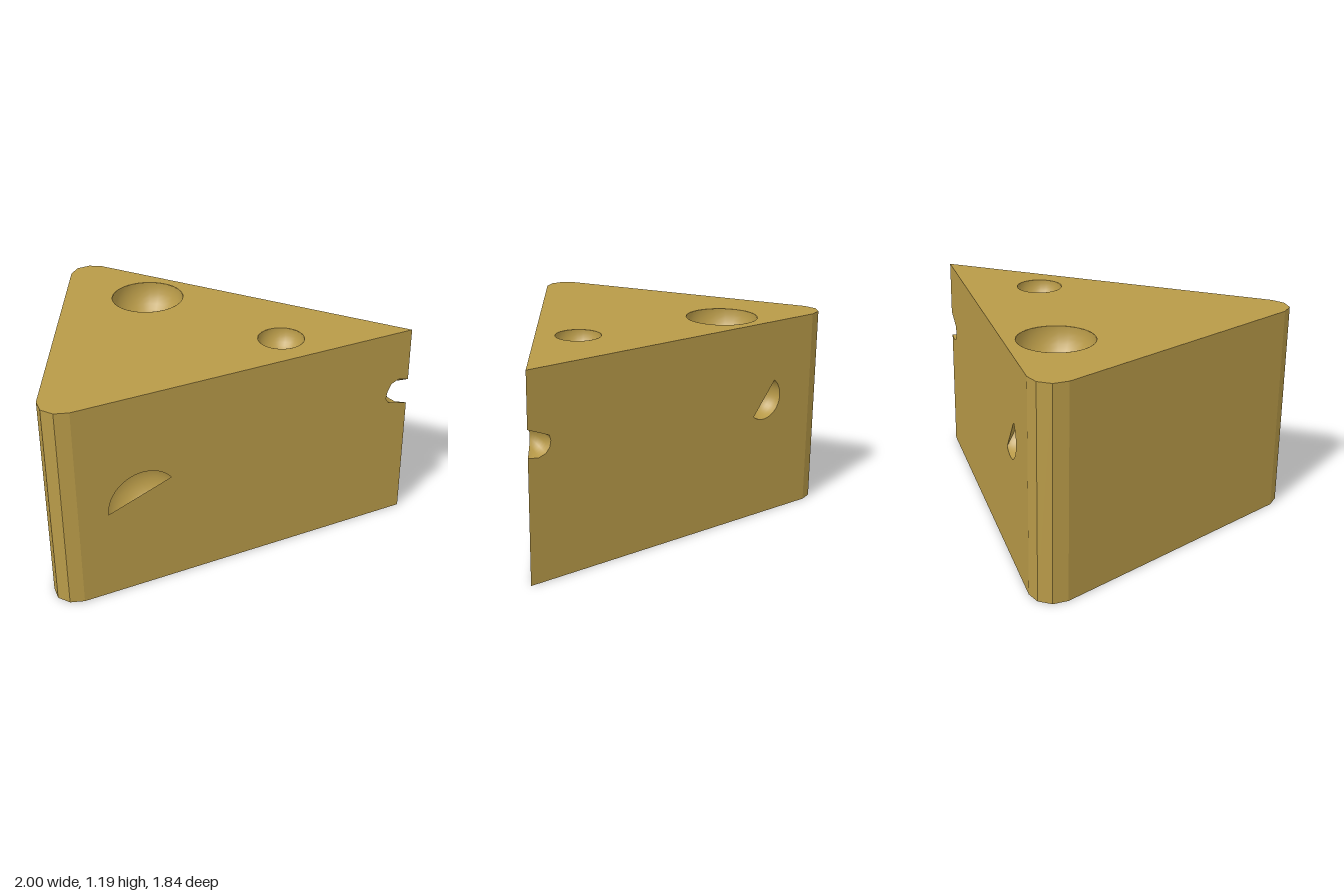
import * as THREE from 'three';

const H = 1.19;
const TURN = Math.atan(0.5); // angle of each long side
const K = Math.cos(TURN);
const material = new THREE.MeshStandardMaterial({ color: 0xb89a48, side: THREE.DoubleSide });

function add(parent, name, geometry) {
  const mesh = new THREE.Mesh(geometry, material);
  mesh.name = name;
  parent.add(mesh);
  return mesh;
}

// Surface from a rule point(a, b), a and b in 0..1
function grid(na, nb, point) {
  const pos = [], idx = [];
  for (let i = 0; i <= na; i++) {
    for (let j = 0; j <= nb; j++) {
      pos.push(...point(i / na, j / nb));
      if (i < na && j < nb) {
        const p = i * (nb + 1) + j, q = p + nb + 1;
        idx.push(p, q, p + 1, q, q + 1, p + 1);
      }
    }
  }
  const g = new THREE.BufferGeometry();
  g.setAttribute('position', new THREE.Float32BufferAttribute(pos, 3));
  g.setIndex(idx);
  g.computeVertexNormals();
  return g;
}

// Point on a tilted half-sphere pocket: chord along x, mouth towards +y, depth along -z
function pocketPoint({ h, d, t }, phi, f) {
  const m = -d * Math.cos(phi) + t * Math.sin(phi);
  const r = Math.hypot(h, m);
  const start = Math.asin(-m / r);
  const a = start + f * (Math.PI - 2 * start);
  const q = m + r * Math.sin(a);
  return [r * Math.cos(a), q * Math.cos(phi), -q * Math.sin(phi)];
}

// Long side wall with a pocket and a bite out of the tip edge
function sideWall(name, angle, dir, pocket, bite) {
  const wall = new THREE.Group();
  wall.name = name;
  wall.rotation.y = angle;
  wall.position.z = 0.5 * dir;
  const toLocal = ([x, y]) => new THREE.Vector2((dir * x) / K, y);
  const shape = new THREE.Shape([[-0.82, 0], [-0.82, H], [1, H], ...bite, [1, 0]].map(toLocal));
  const mid = new THREE.Vector2(pocket.s, pocket.y);
  const mouth = [];
  for (let i = 0; i <= 24; i++) {
    const [u, v] = pocketPoint(pocket, 0, i / 24);
    mouth.push(new THREE.Vector2(u, v).rotateAround(new THREE.Vector2(), pocket.roll).add(mid));
  }
  shape.holes.push(new THREE.Path(mouth));
  add(wall, name + 'Face', new THREE.ShapeGeometry(shape));

  const hole = new THREE.Group();
  hole.name = name + 'Hole';
  hole.position.set(pocket.s, pocket.y, 0);
  hole.rotation.z = pocket.roll;
  const end = Math.PI / 2 + pocket.tilt;
  add(hole, 'holeBowl', grid(14, 24, (a, b) => pocketPoint(pocket, a * end, b)));
  add(hole, 'holeFloor', grid(1, 24, (a, b) => {
    const p = pocketPoint(pocket, end, b);
    return a ? p : [p[0], 0, 0];
  }));
  wall.add(hole);
  return wall;
}

export function createModel() {
  const model = new THREE.Group();
  model.name = 'cheeseWedge';

  // Rounded rear corners, back edge to side wall
  const corner = [[-1, 0.8], [-0.97, 0.88], [-0.9, 0.92], [-0.82, 0.91]];
  const outline = [
    [1, 0], ...[...corner].reverse(), ...corner.map(([x, z]) => [x, -z]),
  ];

  // Top and bottom; shape y becomes -z
  const flat = () => new THREE.Shape(outline.map(([x, z]) => new THREE.Vector2(x, -z)));
  const bowls = [[-0.51, -0.45, 0.21], [0.26, 0.1, 0.13]];
  const topShape = flat();
  for (const [x, z, r] of bowls) {
    const ring = new THREE.Path();
    ring.absarc(x, -z, r, 0, Math.PI * 2, true);
    topShape.holes.push(ring);
    const bowl = add(model, 'topHole',
      new THREE.SphereGeometry(r, 24, 10, 0, Math.PI * 2, Math.PI / 2, Math.PI / 2));
    bowl.position.set(x, H, z);
  }
  add(model, 'top', new THREE.ShapeGeometry(topShape, 24).rotateX(-Math.PI / 2).translate(0, H, 0));
  const base = new THREE.ShapeGeometry(flat()).rotateX(-Math.PI / 2);
  base.index.array.reverse();
  base.computeVertexNormals();
  add(model, 'bottom', base);

  // Rear rind: flat strips between the two side walls
  for (let i = 1; i < outline.length - 1; i++) {
    const [p, q] = [outline[i], outline[i + 1]];
    add(model, 'rind', grid(1, 1, (a, b) => {
      const [x, z] = a ? q : p;
      return [x, b * H, z];
    }).rotateY(0));
  }

  // Bite through the tip, top to bottom, on each side
  const biteFront = [[1, 0.875], [0.94, 0.89], [0.9, 0.87], [0.878, 0.82], [0.872, 0.78], [0.89, 0.75], [1, 0.72]];
  const biteBack = [[1, 0.875], [0.88, 0.82], [0.872, 0.79], [0.878, 0.755], [0.9, 0.725], [0.94, 0.71], [1, 0.72]];
  const last = biteFront.length - 1;
  add(model, 'tipHole', grid(last, 8, (a, b) => {
    const i = Math.round(a * last);
    const [fx, fy] = biteFront[i], [bx, by] = biteBack[i];
    const swell = 1 + 0.12 * Math.sin(Math.PI * b) * Math.sin(Math.PI * a);
    const x = fx + (bx - fx) * b, y = fy + (by - fy) * b;
    const z = (1 - fx) * 0.5 * (1 - b) - (1 - bx) * 0.5 * b;
    return [1 + (x - 1) * swell, 0.8 + (y - 0.8) * swell, z];
  }));

  model.add(sideWall('frontSide', TURN, 1,
    { s: -0.564, y: 0.585, roll: 0.34, h: 0.195, d: 0.065, t: 0.041, tilt: 1.007 }, biteFront));
  model.add(sideWall('backSide', Math.PI - TURN, -1,
    { s: 0.543, y: 0.73, roll: -2.24, h: 0.128, d: 0, t: 0, tilt: 0.96 }, biteBack));
  return model;
}
